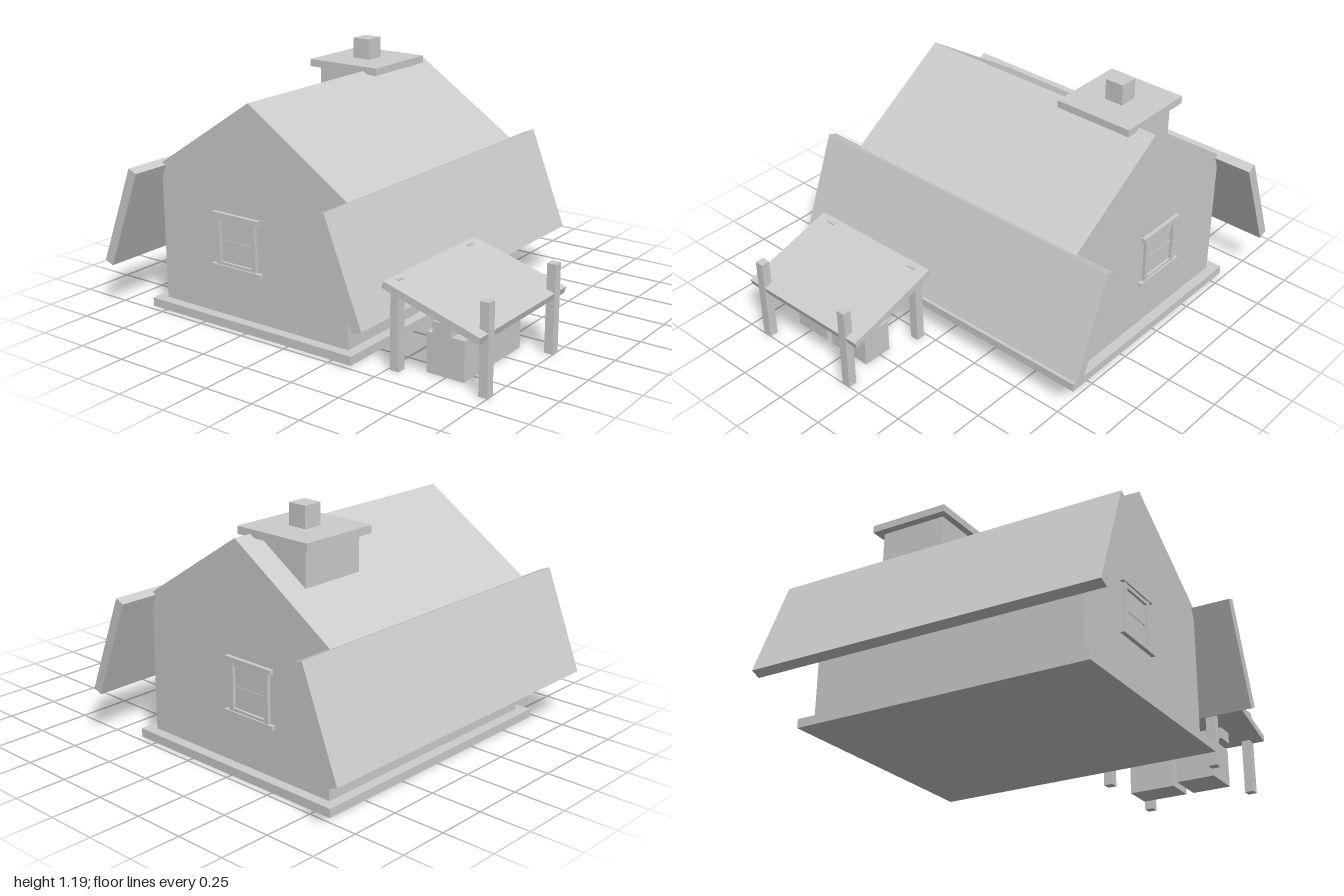
import * as THREE from 'three';

export function createModel() {
  const model = new THREE.Group();
  model.name = 'cottage';
  const grey = new THREE.MeshStandardMaterial({ color: 0xcccccc });
  grey.name = 'plain grey';

  // Box given by its minimum and maximum on each axis
  function box(name, x0, x1, y0, y1, z0, z1, parent = model) {
    const mesh = new THREE.Mesh(new THREE.BoxGeometry(x1 - x0, y1 - y0, z1 - z0), grey);
    mesh.position.set((x0 + x1) / 2, (y0 + y1) / 2, (z0 + z1) / 2);
    mesh.name = name;
    parent.add(mesh);
    return mesh;
  }

  // Slab running along x, sloping between two (z, y) points of its centre line
  function slab(name, x0, x1, [za, ya], [zb, yb], thickness) {
    const length = Math.hypot(zb - za, yb - ya);
    const mesh = new THREE.Mesh(new THREE.BoxGeometry(x1 - x0, thickness, length), grey);
    mesh.position.set((x0 + x1) / 2, (ya + yb) / 2, (za + zb) / 2);
    mesh.rotation.x = -Math.atan2(yb - ya, zb - za);
    mesh.name = name;
    model.add(mesh);
  }

  // Plinth and gabled body
  const mid = -0.242;
  box('plinth', -0.72, 0.72, 0, 0.042, -0.835, 0.352);
  const gable = new THREE.Shape([
    [0.543, 0.04], [0.543, 0.713], [0, 1.07], [-0.543, 0.713], [-0.543, 0.04],
  ].map(([z, y]) => new THREE.Vector2(-z, y)));
  const bodyGeometry = new THREE.ExtrudeGeometry(gable, { depth: 1.34, bevelEnabled: false });
  bodyGeometry.translate(0, 0, -0.67).rotateY(Math.PI / 2).translate(0, 0, mid);
  const body = new THREE.Mesh(bodyGeometry, grey);
  body.name = 'gabledBody';
  model.add(body);

  // Steep lower roof panels, front and back
  for (const s of [1, -1]) {
    slab(s > 0 ? 'frontRoofPanel' : 'backRoofPanel', -0.86, 0.86,
      [mid + s * 0.543, 0.713], [mid + s * 0.733, 0.232], 0.05);
  }

  // Chimney
  box('chimneyStack', 0.207, 0.542, 0.8, 1.056, -0.53, -0.2);
  box('chimneyCap', 0.174, 0.578, 1.055, 1.091, -0.57, -0.165);
  box('chimneyPot', 0.327, 0.423, 1.09, 1.193, -0.415, -0.32);

  // Gable windows
  for (const s of [1, -1]) {
    const win = new THREE.Group();
    win.name = s > 0 ? 'leftWindow' : 'rightWindow';
    const part = (name, depth, y0, y1, z0, z1) => {
      const a = s * 0.665, b = s * (0.67 + depth);
      box(name, Math.min(a, b), Math.max(a, b), y0, y1, z0, z1, win);
    };
    part('lintel', 0.02, 0.518, 0.54, -0.463, -0.19);
    part('sill', 0.02, 0.272, 0.289, -0.474, -0.18);
    part('jamb', 0.015, 0.289, 0.518, -0.445, -0.422);
    part('jamb', 0.015, 0.289, 0.518, -0.233, -0.21);
    part('topRail', 0.012, 0.5, 0.518, -0.422, -0.233);
    part('bottomRail', 0.012, 0.289, 0.302, -0.422, -0.233);
    part('crossBar', 0.003, 0.398, 0.406, -0.422, -0.233);
    model.add(win);
  }

  // Barred glazing along the front wall
  const glazing = new THREE.Group();
  glazing.name = 'frontGlazing';
  box('endPost', -0.035, -0.023, 0.042, 0.45, 0.295, 0.322, glazing);
  box('endPost', 0.568, 0.58, 0.042, 0.45, 0.295, 0.322, glazing);
  box('header', -0.035, 0.58, 0.435, 0.45, 0.295, 0.324, glazing);
  box('threshold', -0.035, 0.58, 0.042, 0.05, 0.295, 0.322, glazing);
  for (let i = 0; i < 10; i++) {
    const x = 0.012 + i * 0.0568, w = i % 2 ? 0.006 : 0.003;
    box('bar', x - w, x + w, 0.05, 0.435, 0.295, 0.322, glazing);
  }
  for (const y of [0.15, 0.235, 0.32]) {
    box('crossBar', -0.023, 0.568, y - 0.004, y + 0.004, 0.295, 0.304, glazing);
  }
  model.add(glazing);

  // Lean-to shelter
  slab('shelterRoof', -0.715, -0.004, [0.516, 0.409], [0.994, 0.272], 0.033);
  for (const x of [-0.633, -0.086]) {
    box('shelterFrontPost', x - 0.022, x + 0.022, 0, 0.42, 0.957, 1);
    box('shelterBackPost', x - 0.022, x + 0.022, 0, 0.42, 0.514, 0.557);
  }

  // Crates under the shelter
  box('tallCrate', -0.58, -0.388, 0, 0.188, 0.65, 0.84);
  box('wideCrate', -0.35, -0.12, 0, 0.166, 0.69, 0.84);
  box('flatCrate', -0.61, -0.36, 0.2, 0.255, 0.7, 0.79);

  return model;
}
